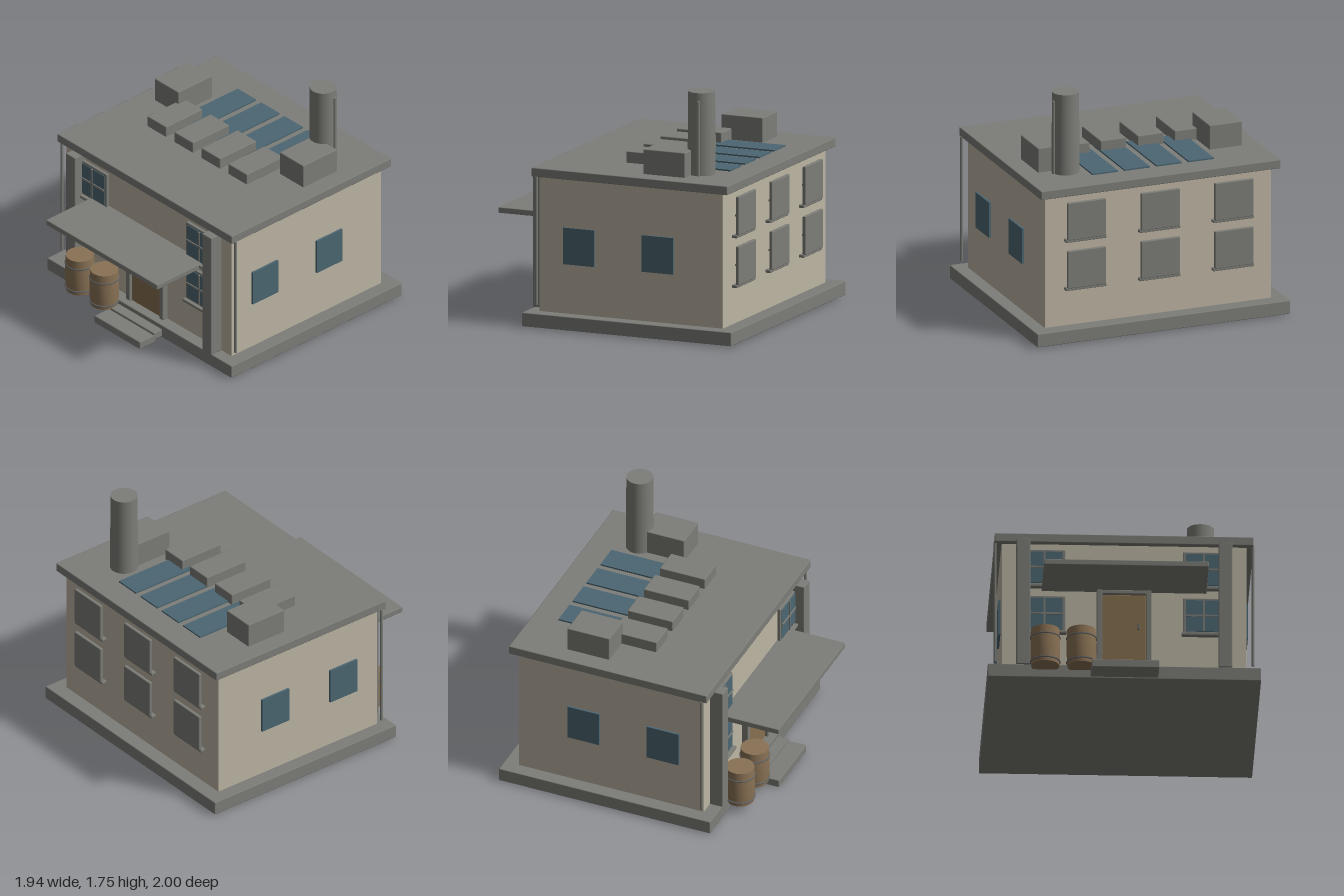
import * as THREE from 'three';
import { RoundedBoxGeometry } from 'three/addons/geometries/RoundedBoxGeometry.js';

function material(name, color) {
  const m = new THREE.MeshStandardMaterial({ color });
  m.name = name;
  return m;
}

export function createModel() {
  const model = new THREE.Group();
  model.name = 'factoryBuilding';

  const plaster = material('plaster', 0xbdb5a4);
  const concrete = material('concrete', 0x7d7e78);
  const glass = material('glass', 0x4c6672);
  const doorWood = material('doorWood', 0x86704f);
  const barrelWood = material('barrelWood', 0x8a7255);
  const metal = material('metal', 0x63676a);

  function add(parent, name, geometry, mat, x = 0, y = 0, z = 0) {
    const mesh = new THREE.Mesh(geometry, mat);
    mesh.name = name;
    mesh.position.set(x, y, z);
    parent.add(mesh);
    return mesh;
  }

  // Box given by its limits, with a small bevel unless it is very thin
  function box(parent, name, mat, [x0, x1], [y0, y1], [z0, z1], bevel = 0.006) {
    const w = x1 - x0, h = y1 - y0, d = z1 - z0;
    const geometry = bevel > 0
      ? new RoundedBoxGeometry(w, h, d, 1, Math.min(bevel, w / 3, h / 3, d / 3))
      : new THREE.BoxGeometry(w, h, d);
    return add(parent, name, geometry, mat, (x0 + x1) / 2, (y0 + y1) / 2, (z0 + z1) / 2);
  }

  function group(name) {
    const g = new THREE.Group();
    g.name = name;
    model.add(g);
    return g;
  }

  // Main body
  box(model, 'foundation', concrete, [-0.97, 0.97], [0.01, 0.11], [-1, 0.637]);
  box(model, 'walls', plaster, [-0.87, 0.87], [0.1, 1.095], [-0.89, 0.545]);
  box(model, 'roof', concrete, [-0.918, 0.918], [1.09, 1.155], [-0.945, 0.587]);

  // Front pilasters and corner drainpipes
  for (const s of [-1, 1]) {
    const cx = s * 0.717;
    box(model, 'pilaster', concrete, [cx - 0.048, cx + 0.048], [0.11, 1.09], [0.54, 0.645]);
    add(model, 'drainpipe', new THREE.CylinderGeometry(0.011, 0.011, 0.93, 12), concrete,
      s * 0.915, 0.63, 0.547);
  }

  // Framed windows: backing frame, pane, glazing bars and sill
  function framedWindow(cx, cy, z) {
    const g = group('framedWindow');
    g.position.set(cx, cy, z);
    box(g, 'windowFrame', concrete, [-0.148, 0.148], [-0.14, 0.14], [0, 0.026]);
    box(g, 'windowPane', glass, [-0.128, 0.128], [-0.122, 0.122], [0.024, 0.031], 0);
    box(g, 'verticalBar', concrete, [-0.007, 0.007], [-0.122, 0.122], [0.026, 0.038], 0);
    box(g, 'horizontalBar', concrete, [-0.128, 0.128], [-0.007, 0.007], [0.026, 0.038], 0);
    box(g, 'windowSill', concrete, [-0.157, 0.157], [-0.16, -0.137], [0.01, 0.052]);
  }
  for (const y of [0.537, 0.898]) {
    for (const x of [-0.565, 0.565]) framedWindow(x, y, 0.545);
    for (const x of [-0.565, 0, 0.565]) framedWindow(x, y, -0.941);
  }

  // Plain panes on both side walls
  for (const s of [-1, 1]) {
    for (const z of [0.232, -0.383]) {
      add(model, 'sideWindow', new THREE.BoxGeometry(0.016, 0.265, 0.245), glass,
        s * 0.878, 0.602, z);
    }
  }

  // Door with surround and handle
  const door = group('entrance');
  for (const s of [-1, 1]) {
    const cx = s * 0.175;
    box(door, 'doorPost', concrete, [cx - 0.02, cx + 0.02], [0.11, 0.725], [0.54, 0.59]);
  }
  box(door, 'doorLintel', concrete, [-0.157, 0.157], [0.695, 0.725], [0.54, 0.59]);
  box(door, 'doorPanel', doorWood, [-0.155, 0.155], [0.11, 0.695], [0.54, 0.57]);
  box(door, 'doorHandle', metal, [0.093, 0.107], [0.42, 0.462], [0.568, 0.59], 0.003);

  // Canopy and entrance steps
  box(model, 'canopy', concrete, [-0.585, 0.585], [0.725, 0.767], [0.54, 1]);
  box(model, 'lowerStep', concrete, [-0.24, 0.24], [0, 0.06], [0.7, 0.85]);
  box(model, 'upperStep', concrete, [-0.24, 0.24], [0.02, 0.078], [0.6, 0.715]);

  // Roof skylights and vent boxes in a row of four
  const skylightX = [-0.388, -0.142, 0.103, 0.348];
  const ventX = [-0.467, -0.185, 0.1, 0.383];
  for (let i = 0; i < 4; i++) {
    const a = skylightX[i], b = ventX[i];
    box(model, 'skylight', glass, [a - 0.097, a + 0.097], [1.15, 1.166], [-0.75, -0.187], 0);
    box(model, 'roofVent', concrete, [b - 0.099, b + 0.099], [1.15, 1.238], [-0.305, 0.045]);
  }
  for (const x of [-0.66, 0.655]) {
    box(model, 'roofUnit', concrete, [x - 0.125, x + 0.125], [1.15, 1.335], [-0.55, -0.225]);
  }

  // Chimney with a thin pipe on its outer side
  add(model, 'chimney', new THREE.CylinderGeometry(0.096, 0.1, 0.605, 32), concrete,
    0.587, 1.4525, -0.592);
  add(model, 'chimneyPipe', new THREE.CylinderGeometry(0.012, 0.012, 0.55, 10), concrete,
    0.686, 1.425, -0.613);

  // Barrels with two hoops
  const profile = [[0, 0], [0.1, 0], [0.104, 0.06], [0.106, 0.14], [0.104, 0.22], [0.101, 0.283]];
  const staves = new THREE.LatheGeometry(profile.slice(1).map(p => new THREE.Vector2(...p)), 28);
  for (const x of [-0.565, -0.308]) {
    const barrel = group('barrel');
    barrel.position.set(x, 0.07, 0.692);
    add(barrel, 'barrelStaves', staves, barrelWood);
    add(barrel, 'barrelLid', new THREE.CircleGeometry(0.101, 28), barrelWood, 0, 0.283, 0)
      .rotation.x = -Math.PI / 2;
    add(barrel, 'barrelBottom', new THREE.CircleGeometry(0.1, 28), barrelWood)
      .rotation.x = Math.PI / 2;
    for (const y of [0.03, 0.217]) {
      add(barrel, 'barrelHoop', new THREE.TorusGeometry(0.104, 0.006, 6, 28), metal, 0, y, 0)
        .rotation.x = Math.PI / 2;
    }
  }

  return model;
}
